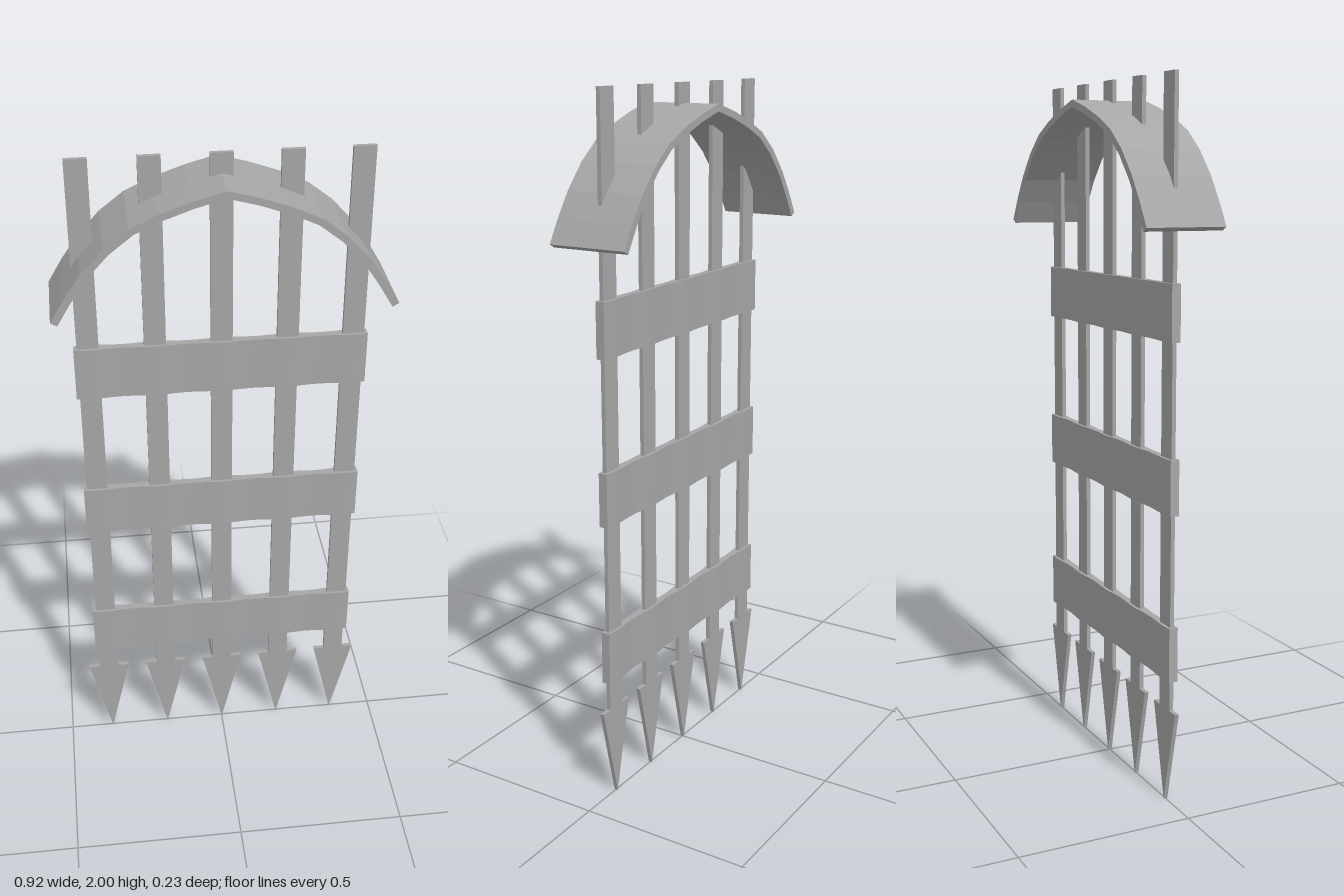
import * as THREE from 'three';

export function createModel() {
  const model = new THREE.Group();
  model.name = 'portcullis';
  const iron = new THREE.MeshStandardMaterial({ color: 0xa6a6a6 });
  iron.name = 'grey iron';

  // extrude an outline to a depth centred on z = 0
  const plate = (points, depth) => {
    const shape = new THREE.Shape(points.map(([x, y]) => new THREE.Vector2(x, y)));
    const geometry = new THREE.ExtrudeGeometry(shape, { depth, bevelEnabled: false });
    return geometry.translate(0, 0, -depth / 2);
  };
  const add = (name, geometry, x = 0, y = 0) => {
    const mesh = new THREE.Mesh(geometry, iron);
    mesh.name = name;
    mesh.position.set(x, y, 0);
    model.add(mesh);
  };

  // upright bars, each ending in an arrow-shaped spike
  const spacing = 0.183;
  const bar = plate([
    [0, 0.005], [0.063, 0.278], [0.03, 0.278], [0.03, 2],
    [-0.03, 2], [-0.03, 0.278], [-0.063, 0.278],
  ], 0.012);
  for (let i = -2; i <= 2; i++) add('spikedBar', bar, i * spacing);

  // cross bands, slightly thicker where they pass over the bars
  const band = new THREE.BoxGeometry(0.81, 0.155, 0.03, 36, 1, 1);
  const p = band.attributes.position;
  for (let i = 0; i < p.count; i++) {
    const swell = 0.0125 + 0.0025 * Math.cos((2 * Math.PI * p.getX(i)) / spacing);
    p.setZ(i, Math.sign(p.getZ(i)) * swell);
  }
  band.computeVertexNormals();
  for (const y of [0.442, 0.912, 1.382]) add('crossBand', band, 0, y);

  // faceted arch hood over the top
  const outer = [
    [0, 1.945], [0.085, 1.922], [0.17, 1.892], [0.245, 1.857],
    [0.312, 1.805], [0.374, 1.737], [0.42, 1.67], [0.458, 1.606],
  ];
  const inner = [
    [0, 1.925], [0.08, 1.903], [0.162, 1.874], [0.234, 1.841],
    [0.299, 1.79], [0.358, 1.725], [0.402, 1.66], [0.44, 1.596],
  ];
  const mirror = (list) => list.slice(1).map(([x, y]) => [-x, y]);
  const outline = [
    ...mirror(outer).reverse(), ...outer,
    ...inner.slice().reverse(), ...mirror(inner),
  ];
  add('archHood', plate(outline, 0.232));

  return model;
}
